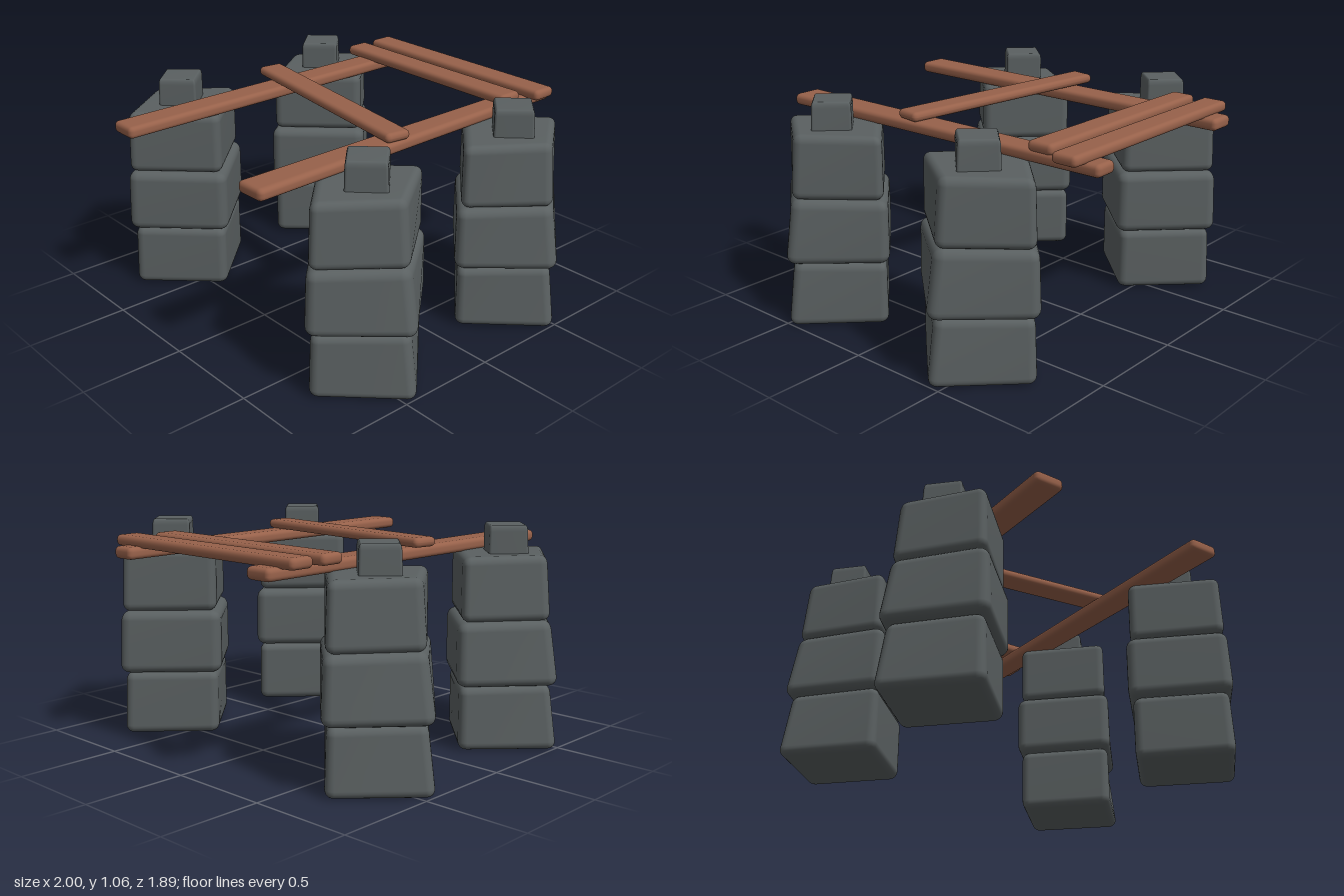
import * as THREE from 'three';
import { mergeVertices } from 'three/addons/utils/BufferGeometryUtils.js';
import { RoundedBoxGeometry } from 'three/addons/geometries/RoundedBoxGeometry.js';

// Softly bevelled box whose vertices are moved by a rule, with smooth normals
function softBox(w, h, d, radius, rule, turn = 0) {
  let geo = new RoundedBoxGeometry(w, h, d, 3, radius);
  geo.deleteAttribute('normal');
  geo.deleteAttribute('uv');
  geo.clearGroups();
  geo = mergeVertices(geo, 1e-4);
  geo.rotateY(turn);
  geo.computeBoundingBox();
  const max = geo.boundingBox.max.clone();
  const pos = geo.attributes.position;
  const v = new THREE.Vector3();
  for (let i = 0; i < pos.count; i++) {
    v.fromBufferAttribute(pos, i);
    rule(v, max);
    pos.setXYZ(i, v.x, v.y, v.z);
  }
  geo.computeVertexNormals();
  return geo;
}

export function createModel() {
  const model = new THREE.Group();
  model.name = 'stonePillarsWithTimberFrame';
  const stone = new THREE.MeshStandardMaterial({ color: 0x5a6061 });
  stone.name = 'darkStone';
  const wood = new THREE.MeshStandardMaterial({ color: 0x97614a });
  wood.name = 'brownWood';

  function add(parent, name, geo, material, x, y, z) {
    const mesh = new THREE.Mesh(geo, material);
    mesh.name = name;
    mesh.position.set(x, y, z);
    parent.add(mesh);
    return mesh;
  }

  // Diamond-plan block: the outer corner leans inward towards the top
  function block(sx, sz, y0, y1, s) {
    const h = y1 - y0;
    return softBox(0.45, h, 0.45, s.radius, (v, max) => {
      const t = v.y / h + 0.5;
      const outX = s.outBottom + (s.outTop - s.outBottom) * t;
      const outZ = s.half * (1 - 0.04 * t);
      v.x *= (v.x * sx > 0 ? outX : s.inner) / max.x;
      v.z *= (v.z * sz > 0 ? outZ : s.half) / max.z;
    }, Math.PI / 4);
  }

  // Four pillars of three blocks and a small cap
  const courses = [
    { name: 'baseBlock', y: [0, 0.312], outBottom: 0.315, outTop: 0.265, inner: 0.305, half: 0.32, radius: 0.04 },
    { name: 'middleBlock', y: [0.31, 0.622], outBottom: 0.31, outTop: 0.255, inner: 0.33, half: 0.338, radius: 0.045 },
    { name: 'upperBlock', y: [0.62, 0.928], outBottom: 0.255, outTop: 0.225, inner: 0.305, half: 0.315, radius: 0.04 },
    { name: 'capStone', y: [0.9, 1.062], outBottom: 0.13, outTop: 0.12, inner: 0.125, half: 0.128, radius: 0.03 },
  ];
  for (const sx of [-1, 1]) {
    for (const sz of [-1, 1]) {
      const pillar = new THREE.Group();
      pillar.name = (sz > 0 ? 'front' : 'back') + (sx > 0 ? 'Left' : 'Right') + 'Pillar';
      pillar.position.set(sx * 0.692, 0, sz * 0.46);
      for (const c of courses) {
        add(pillar, c.name, block(sx, sz, c.y[0], c.y[1], c), stone, 0, (c.y[0] + c.y[1]) / 2, 0);
      }
      model.add(pillar);
    }
  }

  // Timber along x; width may grow from the -x end to the +x end
  function timber(length, height, w0, w1) {
    return softBox(length, height, w0, 0.022, (v) => {
      v.z *= 1 + (w1 / w0 - 1) * (v.x / length + 0.5);
    });
  }

  // Two long beams running front to back (-x end of the timber faces back)
  const rightBeam = add(model, 'rightBeam', timber(1.89, 0.058, 0.138, 0.148), wood, -0.462, 0.95, -0.005);
  rightBeam.rotation.y = -Math.PI / 2;
  const leftBeam = add(model, 'leftBeam', timber(1.865, 0.058, 0.12, 0.158), wood, 0.462, 0.95, -0.018);
  leftBeam.rotation.y = -Math.PI / 2 + 0.012;

  // Cross planks resting on the beams
  add(model, 'backPlank', timber(1.19, 0.052, 0.13, 0.13), wood, -0.01, 0.995, -0.822);
  add(model, 'secondPlank', timber(1.125, 0.052, 0.125, 0.135), wood, -0.043, 0.995, -0.645);
  const slanted = add(model, 'slantedPlank', timber(1.15, 0.046, 0.13, 0.13), wood, -0.032, 1.004, 0.047);
  slanted.rotation.set(0, -0.139, -0.006);

  return model;
}
